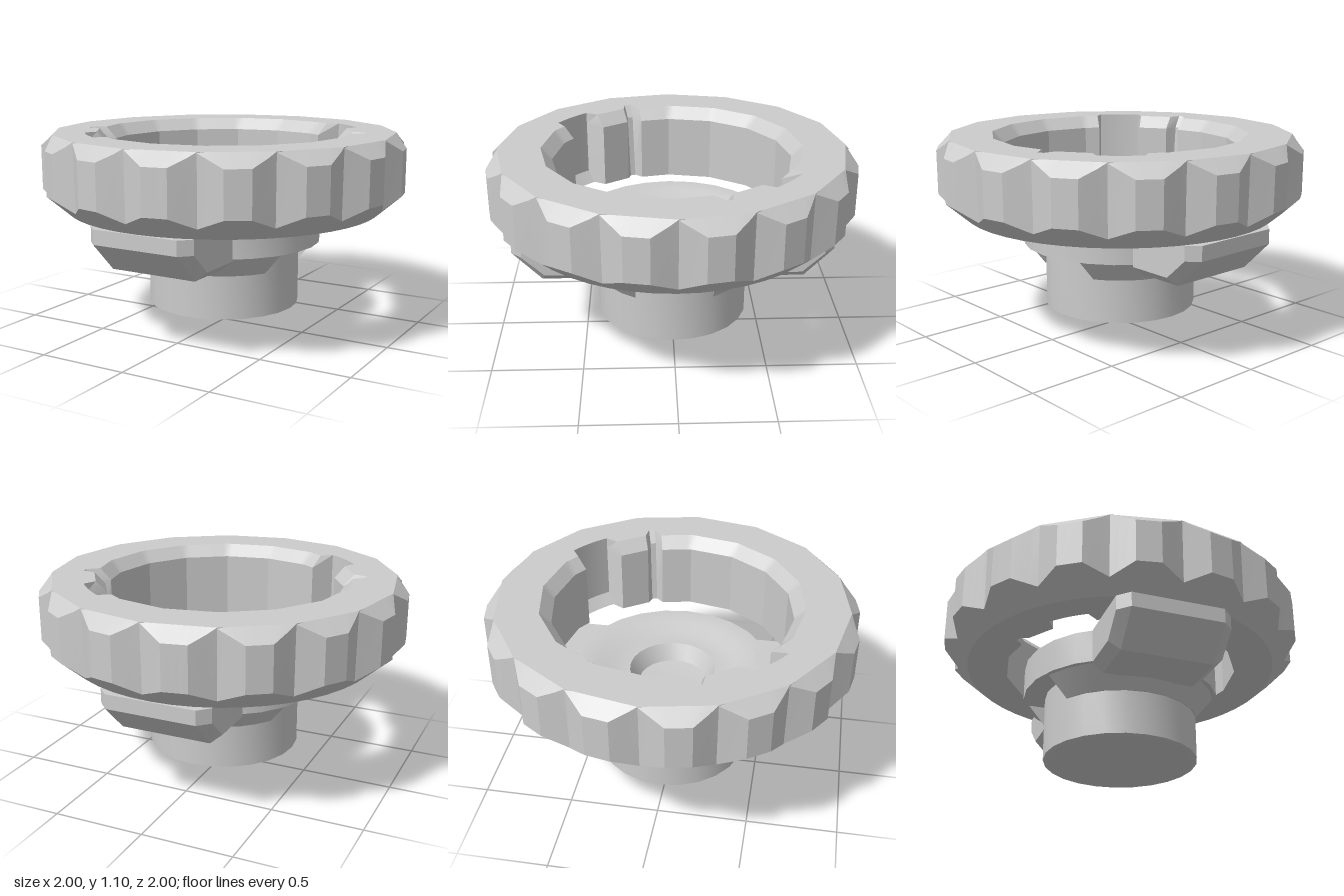
import * as THREE from 'three';
import { toCreasedNormals } from 'three/addons/utils/BufferGeometryUtils.js';
import { ConvexGeometry } from 'three/addons/geometries/ConvexGeometry.js';

const grey = new THREE.MeshStandardMaterial({ color: 0xcccccc });
const N = 144; // samples around the grip ring

function addMesh(group, name, geometry, crease = 0.5) {
  const mesh = new THREE.Mesh(toCreasedNormals(geometry, crease), grey);
  mesh.name = name;
  group.add(mesh);
  return mesh;
}

// Closed loop with n straight sides, sampled at N points; corner(i) gives [radius, y]
function polyLoop(n, corner) {
  const at = (i) => {
    const [r, y] = corner(i % n);
    const t = (i / n) * Math.PI * 2;
    return new THREE.Vector3(r * Math.cos(t), y, -r * Math.sin(t));
  };
  return Array.from({ length: N }, (_, k) => {
    const s = (k * n) / N, i = Math.floor(s);
    return at(i).lerp(at(i + 1), s - i);
  });
}

// Push a loop outwards to a given radius inside the slots of the bore
function withSlots(loop, slotRadius, notchRadius) {
  return loop.map((p, k) => {
    const deg = ((k * 360) / N) % 180;
    const r = deg >= 38 && deg <= 59 ? slotRadius : deg >= 16 && deg <= 21 ? notchRadius : 0;
    const own = Math.hypot(p.x, p.z);
    const f = r > own ? r / own : 1;
    return new THREE.Vector3(p.x * f, p.y, p.z * f);
  });
}

// Skin a closed series of loops, first to last and back to first
function skin(loops) {
  const pos = [], idx = [], L = loops.length;
  loops.forEach((loop) => loop.forEach((p) => pos.push(p.x, p.y, p.z)));
  for (let j = 0; j < L; j++) {
    const a = j * N, b = ((j + 1) % L) * N;
    for (let k = 0; k < N; k++) {
      const m = (k + 1) % N;
      idx.push(a + k, a + m, b + m, a + k, b + m, b + k);
    }
  }
  const g = new THREE.BufferGeometry();
  g.setAttribute('position', new THREE.Float32BufferAttribute(pos, 3));
  g.setIndex(idx);
  return g;
}

function gripRing() {
  const notch = (i) => i % 3 === 0; // 16 lobes, each with two crests
  const round = (r, y) => polyLoop(16, () => [r, y]);
  return skin([
    withSlots(round(0.655, 0.67), 0.715, 0.69),
    polyLoop(48, () => [0.87, 0.67]),
    polyLoop(48, (i) => (notch(i) ? [0.945, 0.735] : [1.007, 0.79])),
    polyLoop(48, (i) => (notch(i) ? [0.95, 1.095] : [1.007, 1.03])),
    round(0.95, 1.1),
    withSlots(round(0.715, 1.1), 0.77, 0.78),
    withSlots(round(0.655, 1.035), 0.77, 0.73),
    withSlots(round(0.655, 0.73), 0.77, 0.7),
  ]);
}

// Hub, flange and shallow recess turned as one profile
function hub() {
  const profile = [
    [0, 0], [0.425, 0.13], [0.425, 0.49], [0.545, 0.49], [0.545, 0.67],
    [0.42, 0.67], [0.36, 0.64], [0.24, 0.64], [0.19, 0.55], [0, 0.53],
  ].map(([r, y]) => new THREE.Vector2(r, y));
  return new THREE.LatheGeometry(profile, 24);
}

// Arm from the flange out under the ring, with bevelled lower edges
function arm() {
  const pts = [];
  for (const s of [-1, 1]) {
    for (const [x, y, z] of [
      [0.31, 0.67, 0.45], [0.31, 0.48, 0.45], [0.25, 0.43, 0.45],
      [0.25, 0.43, 0.72], [0.31, 0.48, 0.7], [0.31, 0.59, 0.82],
      [0.31, 0.67, 0.82], [0.25, 0.59, 0.88], [0.25, 0.67, 0.88],
    ]) pts.push(new THREE.Vector3(s * x, y, z));
  }
  return new ConvexGeometry(pts);
}

// Tapered support under the flange, cut flat at z = 0.21
function support() {
  const pts = [];
  for (const [r, y] of [[0.52, 0.49], [0.43, 0.37]]) {
    const half = Math.acos(0.21 / r);
    for (let i = 0; i <= 10; i++) {
      const a = half * (i / 5 - 1);
      pts.push(new THREE.Vector3(r * Math.sin(a), y, r * Math.cos(a)));
    }
  }
  return new ConvexGeometry(pts);
}

export function createModel() {
  const model = new THREE.Group();
  model.name = 'bayonetCap';
  addMesh(model, 'gripRing', gripRing(), 0.3);
  addMesh(model, 'hub', hub());
  ['front', 'back'].forEach((side, i) => {
    const half = new THREE.Group();
    half.name = side + 'Bayonet';
    half.rotation.y = i * Math.PI;
    addMesh(half, side + 'Arm', arm(), 0.2);
    addMesh(half, side + 'Support', support());
    model.add(half);
  });
  return model;
}
